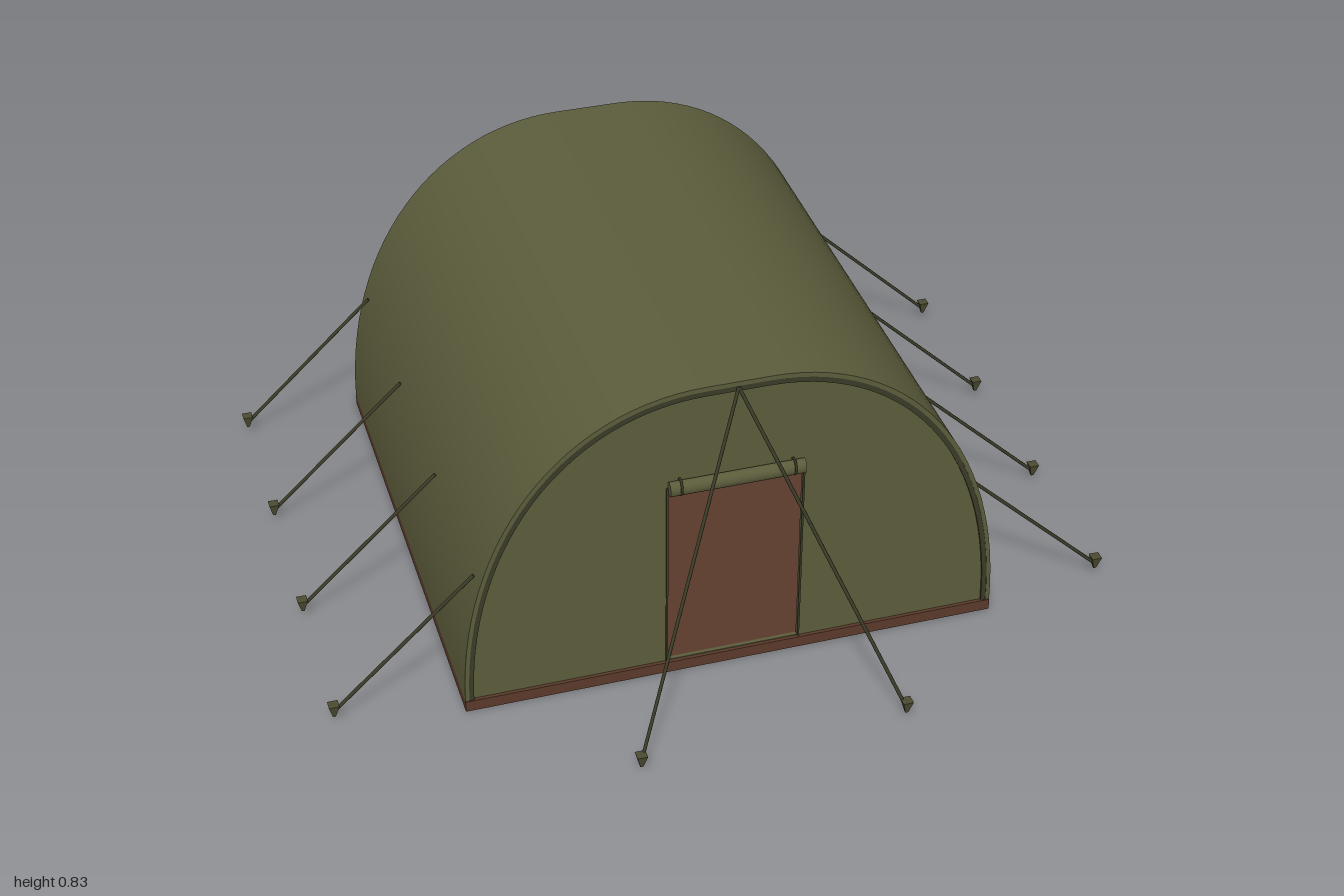
import * as THREE from 'three';
import { toCreasedNormals } from 'three/addons/utils/BufferGeometryUtils.js';

const material = (name, color) => new THREE.MeshStandardMaterial({ name, color });

export function createModel() {
  const canvas = material('olive canvas', 0x5c5c3c);
  const trim = material('dark olive trim', 0x3b3b28);
  const stakeMat = material('stake olive', 0x4c4c33);
  const brown = material('brown groundsheet', 0x5a3a2a);
  const tent = new THREE.Group();
  tent.name = 'tent';

  const add = (name, geometry, mat, x = 0, y = 0, z = 0, parent = tent) => {
    const mesh = new THREE.Mesh(geometry, mat);
    mesh.name = name;
    mesh.position.set(x, y, z);
    parent.add(mesh);
    return mesh;
  };

  // Tunnel cross-section, right foot to left foot, scaled about the ground centre
  const half = new THREE.CubicBezierCurve(
    new THREE.Vector2(0.675, 0.03), new THREE.Vector2(0.675, 0.52),
    new THREE.Vector2(0.42, 0.835), new THREE.Vector2(0.08, 0.835)).getPoints(28);
  const outline = [...half, ...half.slice().reverse().map((p) => new THREE.Vector2(-p.x, p.y))];
  const arch = (s) => outline.map((p) => new THREE.Vector2(p.x * s, 0.03 + (p.y - 0.03) * s));
  const band = (outer, inner, depth) => {
    const shape = new THREE.Shape([...arch(outer), ...arch(inner).reverse()]);
    return toCreasedNormals(
      new THREE.ExtrudeGeometry(shape, { depth, bevelEnabled: false }), 0.6);
  };

  // Groundsheet and tunnel roof
  add('groundsheet', new THREE.BoxGeometry(1.35, 0.03, 1.324), brown, 0, 0.015, 0);
  add('roof', band(1, 0.985, 1.32), canvas, 0, 0, -0.66);

  // End walls, the front one with a doorway
  const wall = (withDoor) => {
    const shape = new THREE.Shape(arch(0.984));
    if (withDoor) {
      shape.holes.push(new THREE.Path([
        [-0.167, 0.032], [-0.167, 0.565], [0.167, 0.565], [0.167, 0.032],
      ].map(([x, y]) => new THREE.Vector2(x, y))));
    }
    return new THREE.ExtrudeGeometry(shape, { depth: 0.01, bevelEnabled: false });
  };
  add('frontWall', wall(true), canvas, 0, 0, 0.643);
  add('backWall', wall(false), canvas, 0, 0, -0.653);

  // Dark piping around both ends
  add('frontPiping', band(0.992, 0.967, 0.006), trim, 0, 0, 0.653);
  add('backPiping', band(0.992, 0.967, 0.006), trim, 0, 0, -0.659);

  // Door edging and the rolled-up door with two ties
  for (const side of [-1, 1]) {
    add('doorEdging', new THREE.BoxGeometry(0.005, 0.53, 0.006), trim, side * 0.169, 0.295, 0.654);
  }
  const roll = new THREE.Group();
  roll.name = 'rolledDoor';
  roll.position.set(0, 0.563, 0.664);
  roll.scale.set(1, 1.1, 0.85);
  tent.add(roll);
  const canvasRoll = add('roll', new THREE.CylinderGeometry(0.018, 0.018, 0.334, 16), canvas, 0, 0, 0, roll);
  canvasRoll.rotation.z = Math.PI / 2;
  for (const side of [-1, 1]) {
    const tie = add('tie', new THREE.TorusGeometry(0.019, 0.003, 6, 16), trim, side * 0.14, 0.003, 0, roll);
    tie.rotation.y = Math.PI / 2;
  }

  // Guy rope with a square peg at its lower end
  const up = new THREE.Vector3(0, 1, 0);
  const pegGeometry = new THREE.CylinderGeometry(0.018, 0.005, 0.036, 4).toNonIndexed();
  pegGeometry.rotateY(Math.PI / 4);
  pegGeometry.computeVertexNormals();
  const guy = (top, bottom) => {
    const group = new THREE.Group();
    group.name = 'guyRope';
    tent.add(group);
    const dir = bottom.clone().sub(top);
    const mid = top.clone().add(bottom).multiplyScalar(0.5);
    const rope = add('rope', new THREE.CylinderGeometry(0.0045, 0.0045, dir.length(), 6), trim,
      mid.x, mid.y, mid.z, group);
    rope.quaternion.setFromUnitVectors(up, dir.normalize());
    add('peg', pegGeometry, stakeMat, bottom.x, 0.04, bottom.z, group);
  };
  for (const side of [-1, 1]) {
    for (const z of [-0.61, -0.203, 0.203, 0.61]) {
      guy(new THREE.Vector3(side * 0.63, 0.372, z), new THREE.Vector3(side * 0.985, 0.035, z));
    }
    for (const end of [-1, 1]) {
      guy(new THREE.Vector3(0, 0.82, end * 0.66), new THREE.Vector3(side * 0.33, 0.035, end * 0.985));
    }
  }
  return tent;
}
